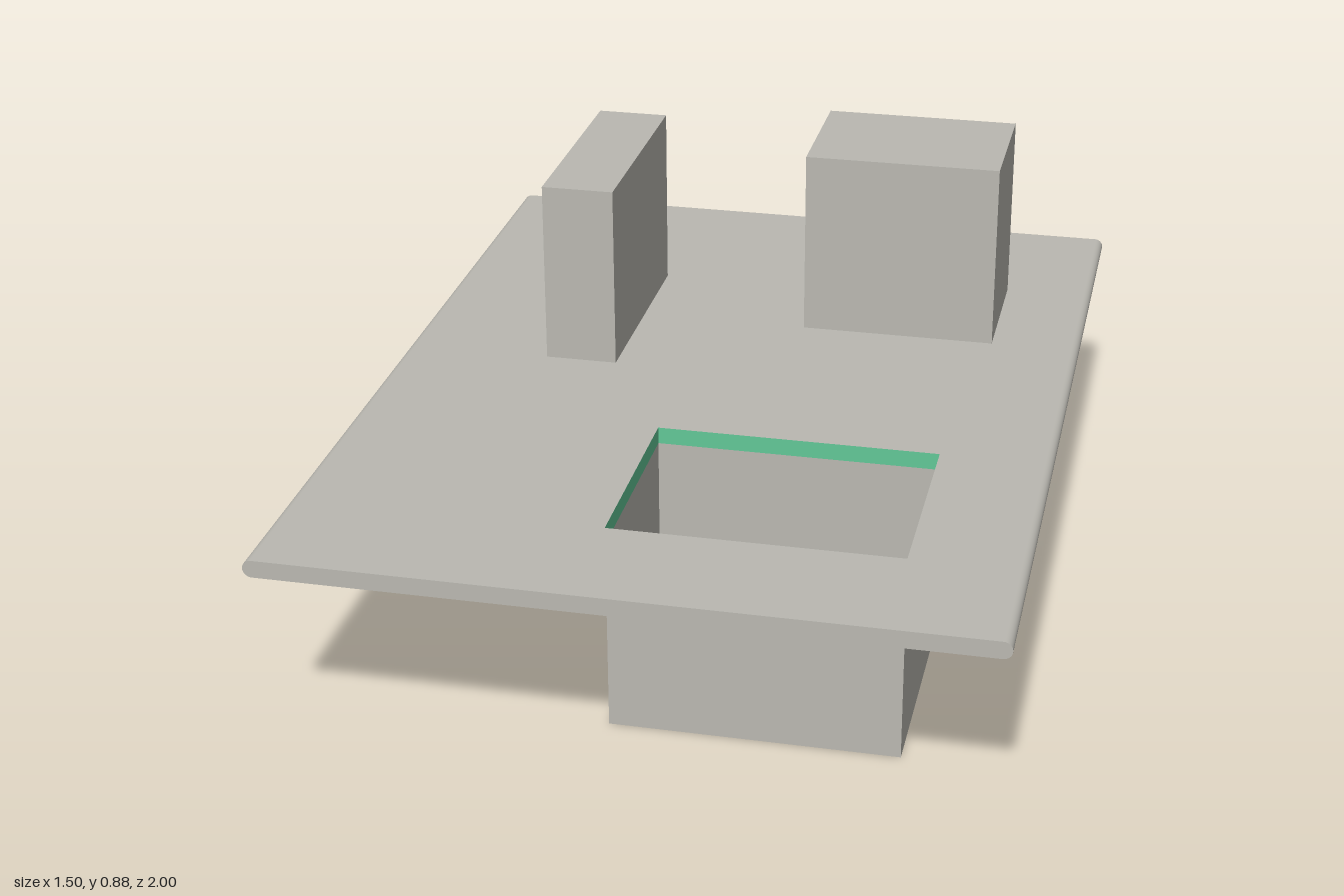
import * as THREE from 'three';

export function createModel() {
  const grey = new THREE.MeshStandardMaterial({ color: 0xbbb9b2 });
  grey.name = 'warmGrey';
  const greyThin = grey.clone(); // same grey, for the thin-walled basin
  greyThin.name = 'warmGreyThin';
  greyThin.side = THREE.DoubleSide;
  const green = new THREE.MeshStandardMaterial({ color: 0x62c898 });
  green.name = 'rimGreen';
  green.side = THREE.DoubleSide;

  const model = new THREE.Group();
  const add = (name, geometry, material, parent = model) => {
    const mesh = new THREE.Mesh(geometry, material);
    mesh.name = name;
    parent.add(mesh);
    return mesh;
  };

  const bottomY = 0.42, topY = 0.457;
  const r = (topY - bottomY) / 2, midY = bottomY + r;
  const flatX = 0.75 - r; // flat half-width between the rounded edges
  const hole = { x0: -0.093, x1: 0.513, z0: 0.267, z1: 0.727 };

  // Board: flat faces with a rectangular cut-out
  const board = new THREE.Group();
  board.name = 'board';
  model.add(board);
  const face = (sign) => {
    const s = new THREE.Shape([[-flatX, -1], [flatX, -1], [flatX, 1], [-flatX, 1]]
      .map(([x, y]) => new THREE.Vector2(x, y)));
    const { x0, x1 } = hole;
    const [a, b] = [-sign * hole.z0, -sign * hole.z1];
    s.holes.push(new THREE.Path([[x0, a], [x1, a], [x1, b], [x0, b]]
      .map(([x, y]) => new THREE.Vector2(x, y))));
    return new THREE.ShapeGeometry(s).rotateX(-sign * Math.PI / 2);
  };
  add('boardTop', face(1).translate(0, topY, 0), grey, board);
  add('boardUnderside', face(-1).translate(0, bottomY, 0), grey, board);

  // Rounded long edges and flat front and back ends
  for (const side of [1, -1]) {
    const edge = new THREE.CylinderGeometry(r, r, 2, 16, 1, true, side > 0 ? 0 : Math.PI, Math.PI);
    add(side > 0 ? 'leftEdge' : 'rightEdge',
      edge.rotateX(Math.PI / 2).translate(side * flatX, midY, 0), grey, board);

    const end = new THREE.Shape();
    end.absarc(flatX, 0, r, -Math.PI / 2, Math.PI / 2);
    end.absarc(-flatX, 0, r, Math.PI / 2, Math.PI * 1.5);
    add(side > 0 ? 'frontEnd' : 'backEnd',
      new THREE.ShapeGeometry(end, 12).rotateY(side > 0 ? 0 : Math.PI).translate(0, midY, side),
      grey, board);
  }

  // Open rectangular sleeve, optionally with a floor
  const w = hole.x1 - hole.x0, d = hole.z1 - hole.z0;
  const cx = (hole.x0 + hole.x1) / 2, cz = (hole.z0 + hole.z1) / 2;
  const sleeve = (name, y0, y1, material, floor) => {
    const group = new THREE.Group();
    group.name = name;
    group.position.set(cx, 0, cz);
    model.add(group);
    const h = y1 - y0, y = (y0 + y1) / 2;
    for (const s of [1, -1]) {
      const turn = s > 0 ? 0 : Math.PI;
      add(name + 'Wall', new THREE.PlaneGeometry(w, h).rotateY(turn).translate(0, y, s * d / 2), material, group);
      add(name + 'SideWall', new THREE.PlaneGeometry(d, h).rotateY(s * Math.PI / 2).translate(s * w / 2, y, 0), material, group);
    }
    if (floor) add(name + 'Floor', new THREE.PlaneGeometry(w, d).rotateX(Math.PI / 2).translate(0, y0, 0), material, group);
  };
  sleeve('cutoutRim', bottomY, topY, green, false);
  sleeve('basin', 0, bottomY, greyThin, true);

  // Blocks standing on the board
  const block = (name, x0, x1, z0, z1, top) =>
    add(name, new THREE.BoxGeometry(x1 - x0, top - topY, z1 - z0), grey)
      .position.set((x0 + x1) / 2, (top + topY) / 2, (z0 + z1) / 2);
  block('narrowBlock', -0.423, -0.263, -0.55, -0.035, 0.867);
  block('wideBlock', 0.116, 0.553, -0.635, -0.315, 0.877);

  return model;
}
